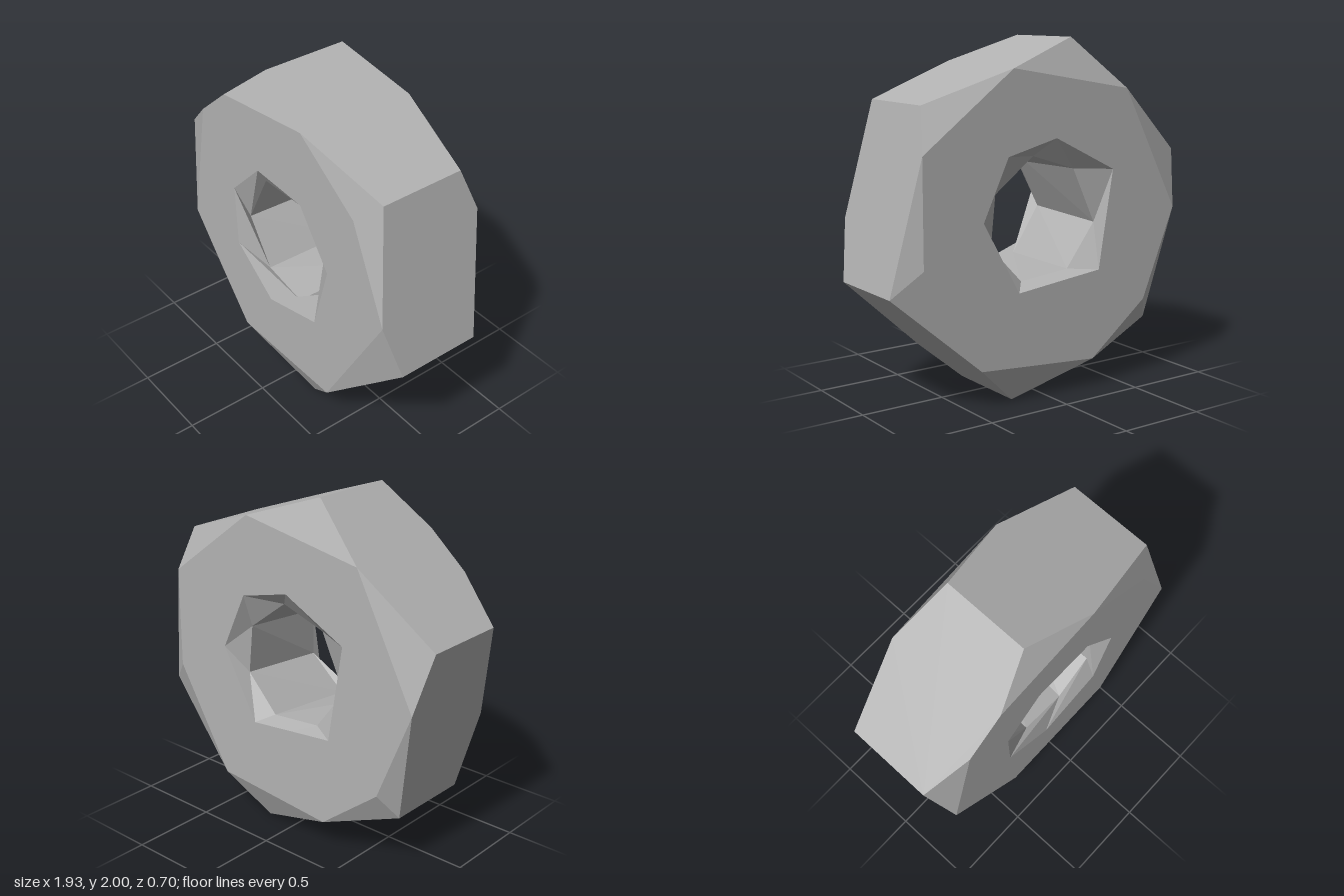
import * as THREE from 'three';

const HALF = 0.35;   // half thickness at the flat faces
const EDGE = 0.255;  // half thickness at the hexagon corners

// Hexagon corners, clockwise from the top
const corners = [[-0.2, 2], [0.765, 1.67], [0.965, 0.68], [0.2, 0], [-0.765, 0.33], [-0.965, 1.33]];

// Where the worn chamfers meet each hexagon side (fractions along it), and extra chips by corner
const front = { sign: 1, cuts: [[0.435], [0.66], [0.69], [0.58], [0.44], [0.345, 0.645]], chips: { 1: [0.65, 1.56] } };
const back = { sign: -1, cuts: [[0.466], [0.25], [0.66], [0.52], [0.67], [0.57]], chips: { 2: [0.815, 0.83], 4: [-0.68, 0.47] } };

// Rings of the hole from front to back, counter-clockwise
const rings = [
  { z: HALF, pts: [[0.44, 1.09], [0.21, 1.405], [-0.175, 1.42], [-0.42, 1.17], [-0.405, 0.79], [-0.09, 0.56], [0.325, 0.67]] },
  { z: 0.28, pts: [[0.33, 1.12], [0.15, 1.33], [-0.2, 1.31], [-0.37, 0.97], [-0.19, 0.7], [0.1, 0.645], [0.33, 0.84]] },
  { z: -0.26, pts: [[0.31, 1.17], [0.06, 1.36], [-0.22, 1.27], [-0.37, 0.95], [-0.18, 0.7], [0.14, 0.67], [0.34, 0.88]] },
  { z: -HALF, pts: [[0.445, 1.04], [0.285, 1.38], [-0.035, 1.46], [-0.435, 1.26], [-0.34, 0.69], [-0.06, 0.66], [0.215, 0.63]] },
];

const next = (i) => (i + 1) % 6;
const at = ([x, y], z) => [x, y, z];

// Points on hexagon side i where the flat face reaches it
function sidePoints(face, i) {
  const [a, b] = [corners[i], corners[next(i)]];
  return face.cuts[i].map((t) => [a[0] + (b[0] - a[0]) * t, a[1] + (b[1] - a[1]) * t]);
}

// Flat-shaded geometry from convex polygons
function polygons(list) {
  const pos = [];
  for (const p of list) {
    for (let k = 1; k < p.length - 1; k++) pos.push(...p[0], ...p[k], ...p[k + 1]);
  }
  const g = new THREE.BufferGeometry();
  g.setAttribute('position', new THREE.Float32BufferAttribute(pos, 3));
  g.computeVertexNormals();
  return g;
}

// Flat annular face; the back one is drawn mirrored, then turned around
function faceGeometry(face, ring) {
  const outline = [];
  for (let i = 0; i < 6; i++) {
    outline.push(...sidePoints(face, i));
    if (face.chips[next(i)]) outline.push(face.chips[next(i)]);
  }
  const vec = ([x, y]) => new THREE.Vector2(x * face.sign, y);
  const shape = new THREE.Shape(outline.map(vec));
  shape.holes.push(new THREE.Path(ring.pts.map(vec)));
  const g = new THREE.ShapeGeometry(shape);
  g.translate(0, 0, HALF);
  if (face.sign < 0) g.rotateY(Math.PI);
  return g;
}

// Sloping facets cut from the six corners
function chamferGeometry(face) {
  return polygons(corners.map((c, i) => {
    const z = HALF * face.sign;
    const poly = [at(c, EDGE * face.sign), at(sidePoints(face, i)[0], z)];
    if (face.chips[i]) poly.push(at(face.chips[i], z));
    poly.push(at(sidePoints(face, (i + 5) % 6).at(-1), z));
    return face.sign > 0 ? poly.reverse() : poly;
  }));
}

export function createModel() {
  const group = new THREE.Group();
  group.name = 'hexNut';
  const stone = new THREE.MeshStandardMaterial({ color: 0xb2b2b2, flatShading: true });
  stone.name = 'grey';
  const add = (name, geometry) => {
    const mesh = new THREE.Mesh(geometry, stone);
    mesh.name = name;
    group.add(mesh);
  };

  add('frontFace', faceGeometry(front, rings[0]));
  add('backFace', faceGeometry(back, rings[3]));
  add('frontChamfers', chamferGeometry(front));
  add('backChamfers', chamferGeometry(back));

  // Six outer sides
  add('outerSides', polygons(corners.map((c, i) => {
    const d = corners[next(i)];
    return [
      at(c, EDGE), ...sidePoints(front, i).map((p) => at(p, HALF)), at(d, EDGE),
      at(d, -EDGE), ...sidePoints(back, i).reverse().map((p) => at(p, -HALF)), at(c, -EDGE),
    ];
  })));

  // Hole wall with a bevelled rim at each end
  ['frontRim', 'holeWall', 'backRim'].forEach((name, r) => {
    const [a, b] = [rings[r], rings[r + 1]];
    add(name, polygons(a.pts.map((p, i) => {
      const j = (i + 1) % a.pts.length;
      return [at(p, a.z), at(a.pts[j], a.z), at(b.pts[j], b.z), at(b.pts[i], b.z)];
    })));
  });

  return group;
}
